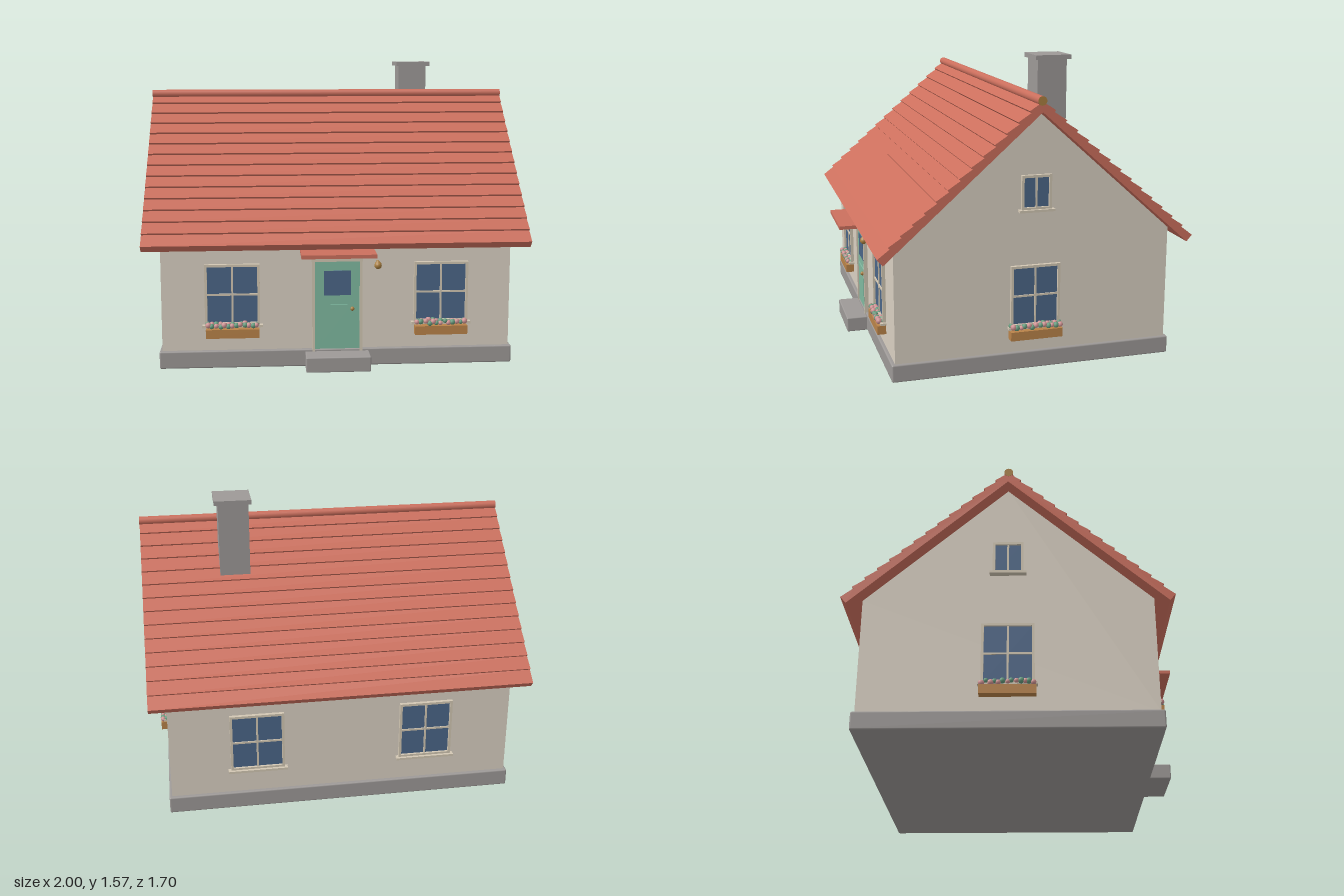
import * as THREE from 'three';
import { RoundedBoxGeometry } from 'three/addons/geometries/RoundedBoxGeometry.js';

const mat = (name, color) => {
  const m = new THREE.MeshStandardMaterial({ color });
  m.name = name;
  return m;
};

export function createModel() {
  const plaster = mat('plaster', 0xd9d0c2);
  const trim = mat('trim', 0xd2c7b3);
  const stone = mat('stone', 0x9d9997);
  const tile = mat('roof tile', 0xcb6f5d);
  const doorGreen = mat('door green', 0x7fb9a0);
  const glass = mat('glass', 0x4b6688);
  const wood = mat('wood', 0xb98349);
  const brass = mat('brass', 0xa97f40);
  const petal = mat('petal', 0xcf9293);
  const leaf = mat('leaf', 0x649a7c);

  const house = new THREE.Group();
  house.name = 'cottage';
  const MID = -0.033; // z of the ridge

  const add = (parent, name, geometry, material, x = 0, y = 0, z = 0) => {
    const mesh = new THREE.Mesh(geometry, material);
    mesh.name = name;
    mesh.position.set(x, y, z);
    parent.add(mesh);
    return mesh;
  };
  // box given by its limits on each axis
  const box = (parent, name, material, [x0, x1], [y0, y1], [z0, z1]) =>
    add(parent, name, new THREE.BoxGeometry(x1 - x0, y1 - y0, z1 - z0), material,
      (x0 + x1) / 2, (y0 + y1) / 2, (z0 + z1) / 2);
  // gable profile of [z, y] points, run along x
  const alongX = (points, length) => {
    const shape = new THREE.Shape(points.map(([z, y]) => new THREE.Vector2(z, y)));
    return new THREE.ExtrudeGeometry(shape, { depth: length, bevelEnabled: false })
      .translate(0, 0, -length / 2).rotateY(Math.PI / 2);
  };

  let seed = 7;
  const rand = () => (seed = (seed * 16807) % 2147483647) / 2147483647;

  // Foundation and doorstep
  add(house, 'foundation', new RoundedBoxGeometry(1.845, 0.092, 1.485, 2, 0.008), stone, 0, 0.046, MID);
  add(house, 'doorstep', new RoundedBoxGeometry(0.335, 0.08, 0.16, 2, 0.006), stone, 0, 0.04, 0.74);

  // Walls with gables
  add(house, 'walls', alongX([[-0.724, 0.085], [0.724, 0.085], [0.724, 0.69], [0, 1.336], [-0.724, 0.69]], 1.816),
    plaster, 0, 0, MID);

  // Roof: a chevron with overlapping tile courses
  const cos = 0.747, sin = 0.664, courses = 14, slope = 1.09, thick = 0.038;
  const onSlope = (s, t) => [s * cos + t * sin, 1.383 - s * sin + t * cos];
  const half = [];
  for (let i = 0; i < courses; i++) {
    if (i > 0) half.push(onSlope((i * slope) / courses, 0));
    half.push(onSlope(((i + 1) * slope) / courses, i < courses - 1 ? 0.012 : 0.006));
  }
  half.push(onSlope(slope, -thick));
  const mirrored = half.map(([z, y]) => [-z, y]).reverse();
  add(house, 'roof', alongX([[0, 1.383], ...half, [0, 1.332], ...mirrored], 1.996), tile, 0, 0, MID);
  const ridge = new THREE.CylinderGeometry(0.023, 0.023, 2, 20).rotateZ(Math.PI / 2);
  add(house, 'ridgeCap', ridge, [tile, brass, brass], 0, 1.387, MID + 0.003);

  // Chimney
  box(house, 'chimney', stone, [0.425, 0.585], [1.0, 1.545], [-0.305, -0.146]);
  box(house, 'chimneyCap', stone, [0.41, 0.605], [1.541, 1.565], [-0.322, -0.13]);

  // Rectangular frame, open in the middle
  const frameGeometry = (w, h, border, depth) => {
    const rect = (P, a, b) => new P([[-a, -b], [a, -b], [a, b], [-a, b]].map(p => new THREE.Vector2(...p)));
    const shape = rect(THREE.Shape, w / 2, h / 2);
    shape.holes.push(rect(THREE.Path, w / 2 - border, h / 2 - border));
    return new THREE.ExtrudeGeometry(shape, { depth, bevelEnabled: false });
  };

  // Window facing +z, origin at its centre on the wall
  const makeWindow = (name, w, h, crossbar) => {
    const g = new THREE.Group();
    g.name = name;
    add(g, 'frame', frameGeometry(w, h, 0.013, 0.018), trim);
    add(g, 'pane', new THREE.BoxGeometry(w - 0.02, h - 0.02, 0.008), glass, 0, 0, 0.002);
    add(g, 'uprightBar', new THREE.BoxGeometry(0.01, h - 0.02, 0.012), trim, 0, 0, 0.006);
    if (crossbar) add(g, 'crossBar', new THREE.BoxGeometry(w - 0.02, 0.01, 0.012), trim, 0, 0, 0.006);
    add(g, 'sill', new THREE.BoxGeometry(w + 0.028, 0.012, 0.036), trim, 0, -h / 2 - 0.004, 0.014);
    house.add(g);
    return g;
  };

  // Planter with two rows of blossoms, hung under a window
  const bloom = new THREE.IcosahedronGeometry(1, 1);
  const addPlanter = (win) => {
    const g = new THREE.Group();
    g.name = 'flowerBox';
    add(g, 'trough', new THREE.BoxGeometry(0.275, 0.046, 0.046), wood, 0, -0.2, 0.023);
    for (let row = 0; row < 2; row++) {
      for (let i = 0; i < 13; i++) {
        const isLeaf = (i + row) % 2 === 0;
        const flower = add(g, isLeaf ? 'leaves' : 'blossom', bloom, isLeaf ? leaf : petal,
          -0.125 + i * 0.0208 + (rand() - 0.5) * 0.008, -0.165 + rand() * 0.014, 0.014 + row * 0.02);
        flower.scale.setScalar(0.012 + rand() * 0.004);
      }
    }
    win.add(g);
  };

  const FRONT = 0.691, BACK = -0.757, SIDE = 0.908;
  for (const s of [-1, 1]) {
    // Front
    const front = makeWindow('frontWindow', 0.284, 0.32, true);
    front.position.set(s * 0.543, 0.389, FRONT);
    addPlanter(front);
    // Back
    const back = makeWindow('backWindow', 0.284, 0.32, true);
    back.position.set(s * 0.45, 0.389, BACK);
    back.rotation.y = Math.PI;
    // Gable ends
    const side = makeWindow('sideWindow', 0.26, 0.32, true);
    side.position.set(s * SIDE, 0.389, MID);
    side.rotation.y = (s * Math.PI) / 2;
    addPlanter(side);
    const attic = makeWindow('atticWindow', 0.156, 0.176, false);
    attic.position.set(s * SIDE, 0.923, MID);
    attic.rotation.y = (s * Math.PI) / 2;
  }

  // Door
  const door = new THREE.Group();
  door.name = 'door';
  door.position.z = FRONT;
  house.add(door);
  for (const s of [-1, 1]) {
    add(door, 'doorJamb', new THREE.BoxGeometry(0.014, 0.485, 0.024), trim, s * 0.124, 0.3225, 0.01);
  }
  box(door, 'doorLintel', trim, [-0.133, 0.133], [0.558, 0.574], [-0.002, 0.025]);
  box(door, 'doorLeaf', doorGreen, [-0.118, 0.118], [0.08, 0.559], [-0.005, 0.013]);
  box(door, 'doorPane', glass, [-0.07, 0.07], [0.378, 0.508], [0.01, 0.016]);
  box(door, 'doorPanel', doorGreen, [-0.08, 0.08], [0.125, 0.33], [0.01, 0.019]);
  add(door, 'doorKnob', new THREE.SphereGeometry(0.011, 14, 10), brass, 0.078, 0.307, 0.023);

  // Canopy above the door
  box(house, 'doorCanopy', tile, [-0.191, 0.191], [0.602, 0.621], [0.685, 0.85]);

  // Wall lantern
  const lantern = new THREE.Group();
  lantern.name = 'lantern';
  lantern.position.set(0.21, 0.537, FRONT);
  house.add(lantern);
  add(lantern, 'bulb', new THREE.SphereGeometry(0.019, 16, 12), brass, 0, 0, 0.032);
  add(lantern, 'cap', new THREE.ConeGeometry(0.017, 0.018, 14), brass, 0, 0.021, 0.032);
  add(lantern, 'bracket', new THREE.BoxGeometry(0.01, 0.012, 0.034), brass, 0, 0.016, 0.015);

  return house;
}
